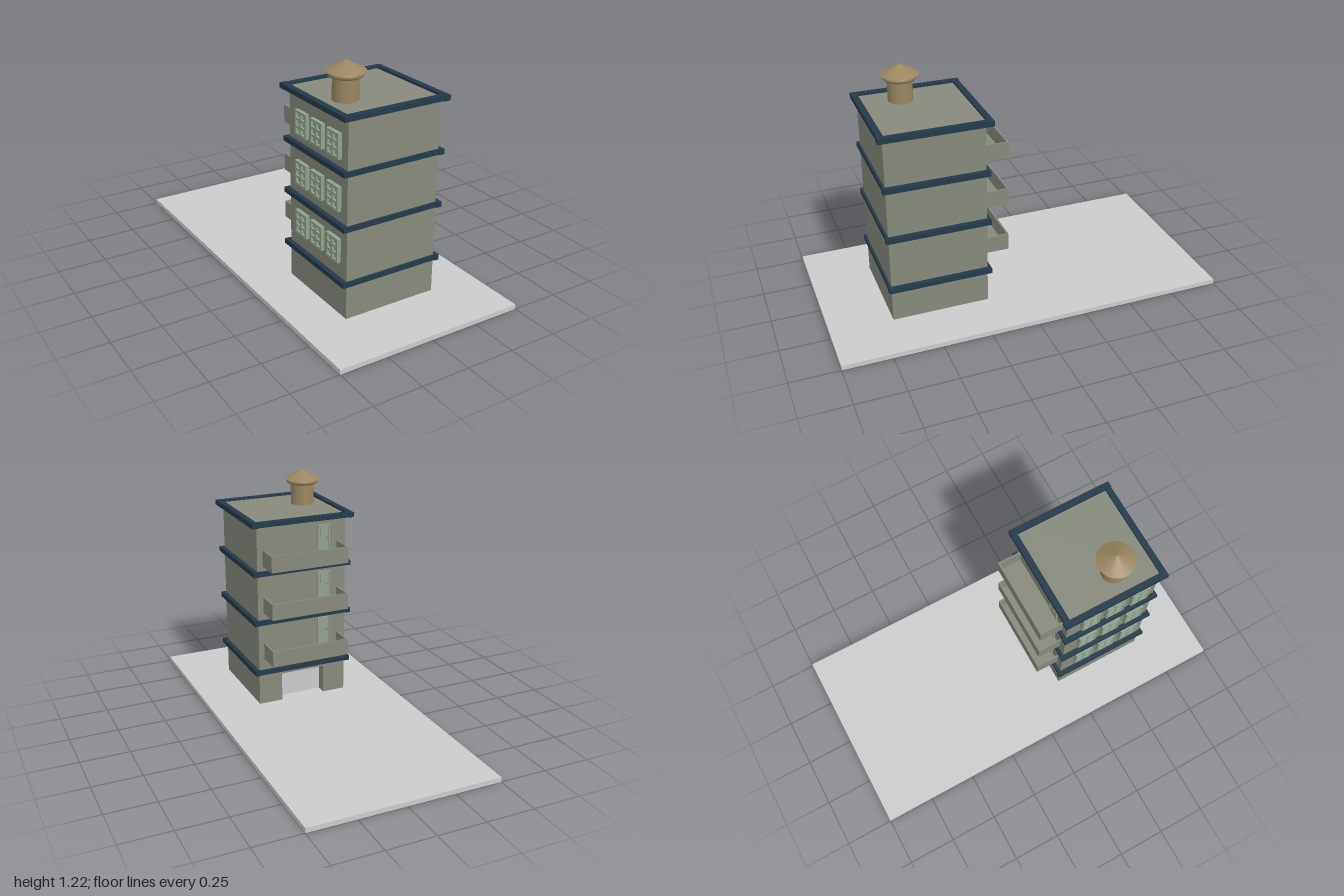
import * as THREE from 'three';

const mat = (color) => new THREE.MeshStandardMaterial({ color });

export function createModel() {
  const model = new THREE.Group();
  const wall = mat(0x868a7b), trim = mat(0x233a4a), brass = mat(0x9a8660);
  const frame = mat(0x8fa48d), glass = mat(0x9a9d98), grey = mat(0xcccccc);

  const add = (parent, name, geometry, material, x = 0, y = 0, z = 0) => {
    const mesh = new THREE.Mesh(geometry, material);
    mesh.name = name;
    mesh.position.set(x, y, z);
    parent.add(mesh);
    return mesh;
  };
  // Box given by its minimum and maximum corners
  const box = (parent, name, material, x0, x1, y0, y1, z0, z1) =>
    add(parent, name, new THREE.BoxGeometry(x1 - x0, y1 - y0, z1 - z0), material,
      (x0 + x1) / 2, (y0 + y1) / 2, (z0 + z1) / 2);
  const group = (name) => {
    const g = new THREE.Group();
    g.name = name;
    model.add(g);
    return g;
  };

  const X0 = -0.26, X1 = 0.24, Z0 = 0.18, Z1 = 0.68, BASE = 0.025, ROOF = 1.03, RECESS = 0.06;

  box(model, 'ground', grey, -0.5, 0.5, 0, BASE, -1, 1);

  // Tower, with a wide entrance recessed into its back face
  const tower = group('tower');
  box(tower, 'towerBody', wall, X0, X1, BASE, ROOF, Z0 + RECESS, Z1);
  const outline = new THREE.Shape([
    [X0, BASE], [-0.135, BASE], [-0.135, 0.18], [0.11, 0.18],
    [0.11, BASE], [X1, BASE], [X1, ROOF], [X0, ROOF],
  ].map(([x, y]) => new THREE.Vector2(x, y)));
  add(tower, 'entranceWall',
    new THREE.ExtrudeGeometry(outline, { depth: RECESS, bevelEnabled: false }), wall, 0, 0, Z0);
  box(tower, 'entranceDoor', grey, -0.135, 0.11, BASE, 0.18, Z0 + RECESS - 0.006, Z0 + RECESS + 0.004);

  // Ring of four bars around the tower
  const ring = (name, x0, x1, z0, z1, y0, y1, w) => {
    const g = group(name);
    box(g, 'frontBar', trim, x0, x1 - w, y0, y1, z1 - w - 0.004, z1 - 0.004);
    box(g, 'backBar', trim, x0 + w, x1 - w, y0, y1, z0 + 0.004, z0 + w + 0.004);
    box(g, 'leftBar', trim, x1 - w, x1, y0 - 0.002, y1, z0 + 0.004, z1);
    box(g, 'rightBar', trim, x0, x0 + w, y0, y1, z0, z1 - w - 0.004);
  };
  for (const y of [0.198, 0.481, 0.75])
    ring('floorBand', -0.285, 0.264, 0.16, 0.696, y, y + 0.025, 0.027);
  ring('roofEdge', -0.295, 0.274, 0.145, 0.708, 1.015, 1.04, 0.031);

  for (const y of [0.285, 0.545, 0.8]) {
    // Open-topped balcony
    const balcony = group('balcony');
    const bx0 = -0.22, bx1 = 0.21, bz = 0.055, t = 0.009, top = y + 0.087;
    box(balcony, 'balconyFloor', wall, bx0, bx1, y, y + t, bz, Z0);
    box(balcony, 'balconyParapet', wall, bx0, bx1, y + t, top, bz, bz + t);
    box(balcony, 'balconyEnd', wall, bx0, bx0 + t, y + t, top, bz + t, Z0);
    box(balcony, 'balconyEnd', wall, bx1 - t, bx1, y + t, top, bz + t, Z0);

    // Balcony door with a pane and a knob
    const door = group('balconyDoor');
    const dx0 = -0.168, dx1 = -0.1, doorTop = y + 0.187;
    box(door, 'doorLeaf', frame, dx0 + 0.006, dx1 - 0.006, y + t, doorTop - 0.006, Z0 - 0.005, Z0);
    box(door, 'doorPane', glass, dx0 + 0.016, dx1 - 0.016, y + 0.125, doorTop - 0.016, Z0 - 0.007, Z0);
    box(door, 'doorHead', frame, dx0, dx1, doorTop - 0.006, doorTop, Z0 - 0.009, Z0);
    for (const x of [dx0, dx1 - 0.006])
      box(door, 'doorJamb', frame, x, x + 0.006, y + t, doorTop - 0.006, Z0 - 0.009, Z0);
    add(door, 'doorKnob', new THREE.SphereGeometry(0.006, 12, 8), brass, dx0 + 0.015, y + 0.118, Z0 - 0.012);

    // Three windows, each with two columns of three panes
    for (const z of [0.305, 0.44, 0.58]) {
      const win = group('window');
      const y0 = y + 0.015, h = 0.123, w = 0.1, f = 0.012;
      const shape = new THREE.Shape();
      shape.moveTo(0, 0).lineTo(w, 0).lineTo(w, h).lineTo(0, h).closePath();
      const pw = (w - 3 * f) / 2, ph = (h - 4 * f) / 3;
      for (let c = 0; c < 2; c++) for (let r = 0; r < 3; r++) {
        const px = f + c * (pw + f), py = f + r * (ph + f);
        const hole = new THREE.Path();
        hole.moveTo(px, py).lineTo(px, py + ph).lineTo(px + pw, py + ph).lineTo(px + pw, py).closePath();
        shape.holes.push(hole);
      }
      const lattice = add(win, 'windowFrame',
        new THREE.ExtrudeGeometry(shape, { depth: 0.02, bevelEnabled: false }), frame, X0, y0, z - w / 2);
      lattice.rotation.y = -Math.PI / 2;
      box(win, 'windowGlass', glass, X0 - 0.008, X0, y0 + f / 2, y0 + h - f / 2, z - w / 2 + f / 2, z + w / 2 - f / 2);
    }
  }

  // Round rooftop vent with a rolled collar and conical cap
  const vent = group('roofVent');
  vent.position.set(-0.148, 0, 0.485);
  add(vent, 'ventPipe', new THREE.CylinderGeometry(0.062, 0.062, 0.13, 32), brass, 0, ROOF + 0.065, 0);
  const collar = add(vent, 'ventCollar', new THREE.TorusGeometry(0.069, 0.016, 12, 32), brass, 0, 1.155, 0);
  collar.rotation.x = Math.PI / 2;
  add(vent, 'ventCap', new THREE.ConeGeometry(0.095, 0.049, 32), brass, 0, 1.1925, 0);

  return model;
}
